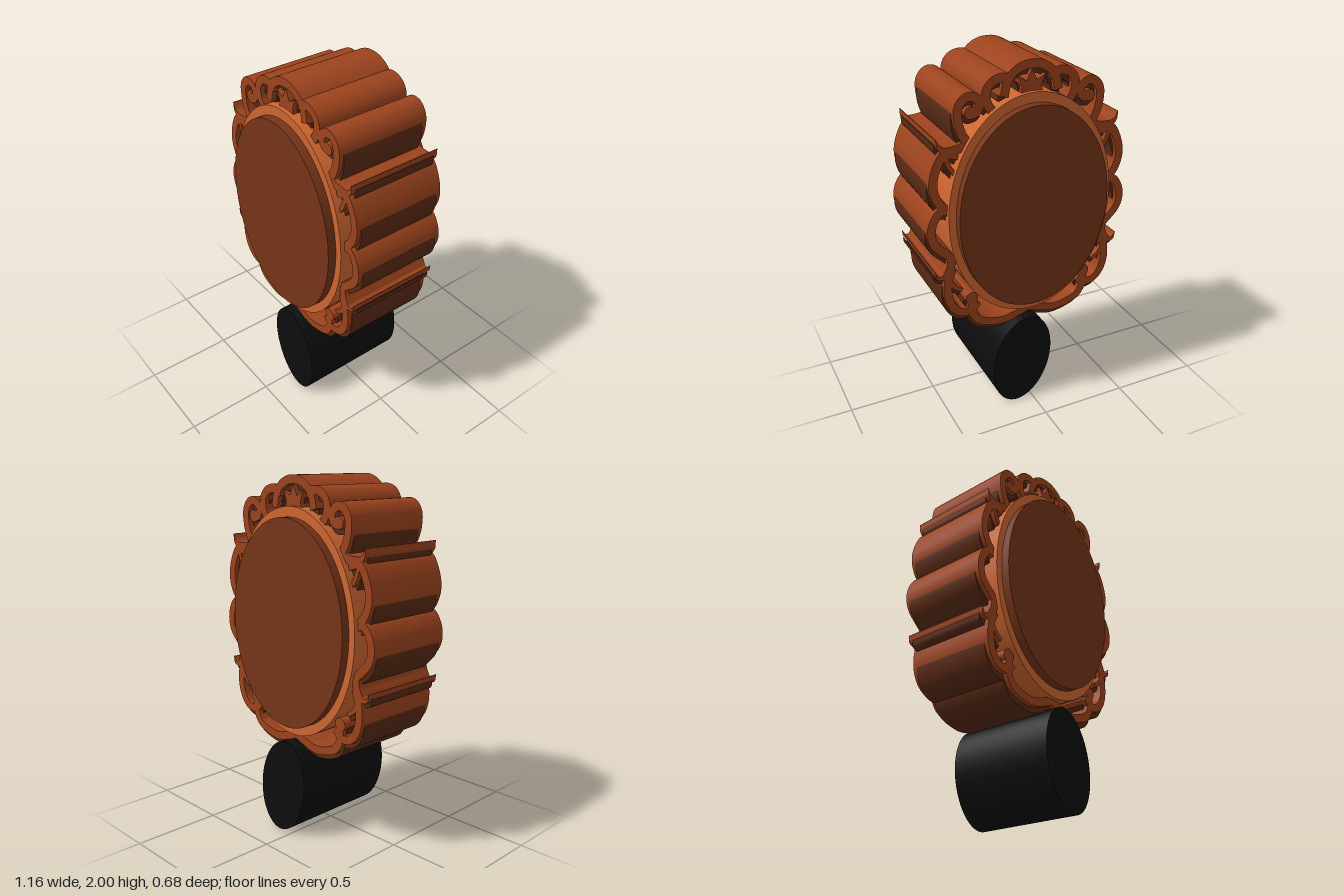
import * as THREE from 'three';
import { toCreasedNormals, mergeGeometries } from 'three/addons/utils/BufferGeometryUtils.js';

const CENTRE_Y = 1.22;
const paint = (color) => new THREE.MeshStandardMaterial({ color });
const rimPaint = paint(0xcd6631);
const fretPaint = paint(0x9c431d);
const shadePaint = paint(0x5a2a15);
const platePaint = paint(0x763418);
const blackPaint = paint(0x0d0d0d);

// Elliptical slab with its axis along z
function ellipseSlab(name, rx, ry, halfDepth, material) {
  const geo = new THREE.CylinderGeometry(1, 1, 2 * halfDepth, 96).rotateX(Math.PI / 2).scale(rx, ry, 1);
  const mesh = new THREE.Mesh(geo, material);
  mesh.name = name;
  return mesh;
}

function extrude(shape, halfDepth) {
  const geo = new THREE.ExtrudeGeometry(shape, { depth: 2 * halfDepth, bevelEnabled: false, curveSegments: 16 });
  return toCreasedNormals(geo.translate(0, 0, -halfDepth), 0.6);
}

// Ribbon of even width along a spline; a taper brings its far end to a point
function ribbon({ pts, taper = false, width = 0.023 }, side) {
  const curve = new THREE.CatmullRomCurve3(pts.map(([x, y]) => new THREE.Vector3(x * side, y, 0)), false, 'centripetal');
  const n = 36, outer = [], inner = [];
  for (let i = 0; i <= n; i++) {
    const t = i / n, p = curve.getPointAt(t), d = curve.getTangentAt(t);
    const w = taper ? width * Math.max(0.08, Math.min(1, 2.2 * (1 - t))) : width;
    outer.push(new THREE.Vector2(p.x - d.y * w, p.y + d.x * w));
    inner.unshift(new THREE.Vector2(p.x + d.y * w, p.y - d.x * w));
  }
  return new THREE.Shape([...outer, ...inner]);
}

// Scrolls of the right-hand half, from the crown down to the foot
const scrolls = [
  { pts: [[-0.03, 1.976], [0.03, 1.976], [0.085, 1.955], [0.13, 1.91], [0.15, 1.83]] },
  { pts: [[0.10, 1.91], [0.16, 1.928], [0.215, 1.912], [0.245, 1.87], [0.24, 1.81], [0.21, 1.76]] },
  { pts: [[0.335, 1.765], [0.295, 1.775], [0.28, 1.815], [0.31, 1.852], [0.355, 1.853], [0.392, 1.81],
    [0.395, 1.74], [0.375, 1.67], [0.33, 1.60]] },
  { pts: [[0.34, 1.62], [0.41, 1.60], [0.465, 1.60], [0.50, 1.625], [0.512, 1.665]], taper: true },
  { pts: [[0.40, 1.57], [0.47, 1.585], [0.515, 1.52], [0.537, 1.42], [0.515, 1.34], [0.475, 1.29], [0.43, 1.25]] },
  { pts: [[0.44, 1.27], [0.50, 1.282], [0.543, 1.23], [0.557, 1.16], [0.54, 1.10], [0.495, 1.05], [0.44, 1.0]] },
  { pts: [[0.45, 1.04], [0.462, 0.95], [0.495, 0.903], [0.53, 0.905], [0.545, 0.94]], taper: true },
  { pts: [[0.45, 0.94], [0.475, 0.87], [0.478, 0.78], [0.455, 0.71], [0.41, 0.665], [0.35, 0.66], [0.31, 0.70]] },
  { pts: [[0.34, 0.73], [0.345, 0.66], [0.31, 0.59], [0.24, 0.558], [0.16, 0.545], [0.08, 0.562], [-0.02, 0.60]] },
  // short tendrils running back to the rim
  { pts: [[0.47, 1.58], [0.445, 1.51], [0.41, 1.46]], width: 0.012 },
  { pts: [[0.47, 0.88], [0.44, 0.83], [0.40, 0.80]], width: 0.012 },
];
// Round ends of the curls: x, y, radius
const buds = [[0.33, 1.775, 0.032], [0.345, 0.735, 0.036]];

function fretwork(name, halfDepth, material) {
  const parts = [];
  for (const side of [1, -1]) {
    for (const s of scrolls) parts.push(extrude(ribbon(s, side), halfDepth));
    for (const [x, y, r] of buds) {
      parts.push(extrude(new THREE.Shape().absarc(x * side, y, r, 0, Math.PI * 2), halfDepth));
    }
  }
  // pointed crown inside the top scroll
  const half = [[0, 1.955], [0.028, 1.895], [0.075, 1.92], [0.055, 1.87], [0.06, 1.82]];
  const mirrored = half.slice(1).reverse().map(([x, y]) => [-x, y]);
  parts.push(extrude(new THREE.Shape([...half, ...mirrored].map(([x, y]) => new THREE.Vector2(x, y))), halfDepth));
  const mesh = new THREE.Mesh(mergeGeometries(parts), material);
  mesh.name = name;
  return mesh;
}

export function createModel() {
  const model = new THREE.Group();
  model.name = 'ornateOvalFrame';

  // Oval body
  const rim = ellipseSlab('rim', 0.47, 0.622, 0.295, rimPaint);
  const plate = ellipseSlab('plate', 0.43, 0.568, 0.342, platePaint);
  rim.position.y = plate.position.y = CENTRE_Y;

  // Scrollwork, with a darker, thinner layer set slightly lower
  const fret = fretwork('scrollwork', 0.27, fretPaint);
  const shade = fretwork('scrollworkUnderlayer', 0.245, shadePaint);
  shade.position.set(0.004, -0.03, 0);

  // Tilted oval foot
  const foot = ellipseSlab('foot', 0.175, 0.278, 0.32, blackPaint);
  foot.position.set(0.062, 0.275, 0);
  foot.rotation.z = 0.195;

  model.add(rim, plate, fret, shade, foot);
  return model;
}
